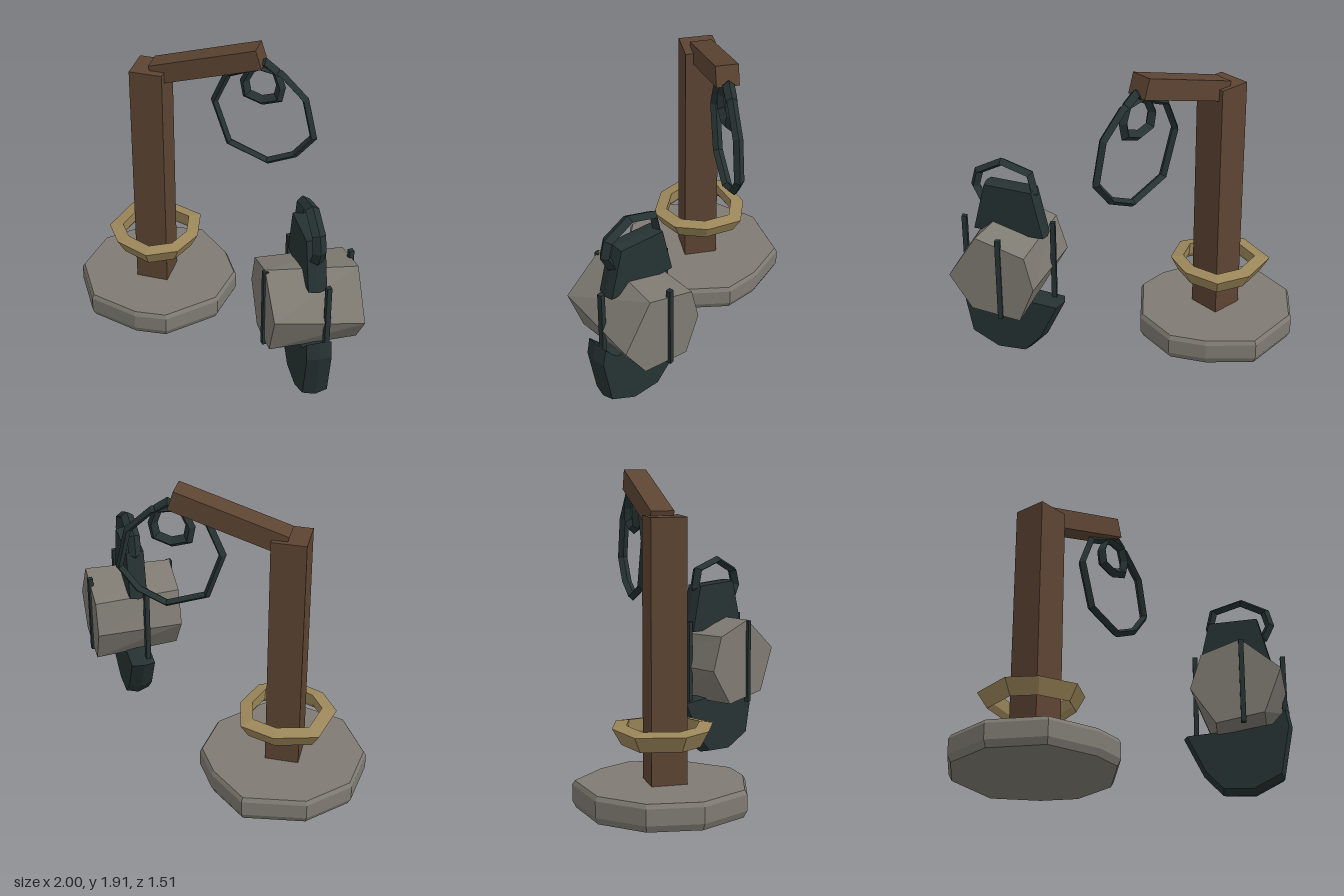
import * as THREE from 'three';

const mat = (name, color) => Object.assign(new THREE.MeshStandardMaterial({ color, flatShading: true }), { name });

// Skin a list of equal-length cross-sections; closed joins last to first, otherwise ends are capped.
function loft(sections, closed) {
  const pos = [], n = sections.length, m = sections[0].length;
  const tri = (...pts) => pts.forEach(p => pos.push(...p));
  for (let i = 0; i < (closed ? n : n - 1); i++) {
    const a = sections[i], b = sections[(i + 1) % n];
    for (let k = 0; k < m; k++) {
      const l = (k + 1) % m;
      tri(a[k], b[k], b[l]);
      tri(a[k], b[l], a[l]);
    }
  }
  if (!closed) {
    const centre = s => [0, 1, 2].map(c => s.reduce((t, p) => t + p[c], 0) / m);
    const a = sections[0], b = sections[n - 1], ca = centre(a), cb = centre(b);
    for (let k = 0; k < m; k++) {
      const l = (k + 1) % m;
      tri(ca, a[k], a[l]);
      tri(cb, b[l], b[k]);
    }
  }
  const g = new THREE.BufferGeometry();
  g.setAttribute('position', new THREE.Float32BufferAttribute(pos, 3));
  g.computeVertexNormals();
  return g;
}

// Faceted ring in the xy plane: outline points, swept by a [scale, z] cross-section.
const ring = (outline, section) =>
  loft(outline.map(([x, y]) => section.map(([s, z]) => [x * s, y * s, z])), true);

// Slab from a clockwise xy profile, slightly narrower on both faces.
function slab(profile, half, shrink) {
  const cx = profile.reduce((t, p) => t + p[0], 0) / profile.length;
  const cy = profile.reduce((t, p) => t + p[1], 0) / profile.length;
  return loft([[-half, shrink], [0, 1], [half, shrink]].map(([z, s]) =>
    profile.map(([x, y]) => [cx + (x - cx) * s, cy + (y - cy) * s, z])), false);
}

export function createModel() {
  const model = new THREE.Group();
  const stone = mat('stone grey', 0x7f7b73);
  const wood = mat('brown wood', 0x5c4432);
  const gold = mat('dull gold', 0x9c875a);
  const iron = mat('dark iron', 0x263232);

  const add = (parent, name, geo, material, x = 0, y = 0, z = 0) => {
    const mesh = new THREE.Mesh(geo, material);
    mesh.name = name;
    mesh.position.set(x, y, z);
    parent.add(mesh);
    return mesh;
  };

  // Rough stone foot
  const foot = [[0, -0.35], [-0.04, -0.05], [-0.3, 0.22], [-0.5, 0.24], [-0.82, 0.15],
    [-1, -0.15], [-0.96, -0.47], [-0.73, -0.7], [-0.35, -0.755], [-0.12, -0.55]];
  const level = (y, s) => foot.map(([x, z]) => [-0.5 + (x + 0.5) * s, y, -0.25 + (z + 0.25) * s]);
  add(model, 'base', loft([level(0.01, 0.96), level(0.05, 1), level(0.145, 1), level(0.17, 0.97)], false), stone);

  // Post and sloping arm
  add(model, 'post', new THREE.BoxGeometry(0.205, 1.54, 0.21), wood, -0.51, 0.92, -0.245);
  add(model, 'arm', new THREE.BoxGeometry(0.69, 0.125, 0.135), wood, -0.16, 1.76, -0.255).rotation.z = 0.3;

  // Flared collar around the post
  const collar = ring([[0.27, 0], [0.22, 0.23], [0.01, 0.3], [-0.25, 0.23], [-0.31, -0.05],
    [-0.2, -0.21], [0.02, -0.3], [0.2, -0.2]], [[1, 0.04], [0.72, 0.055], [0.74, -0.02], [0.82, -0.055]]);
  add(model, 'collar', collar.rotateX(-Math.PI / 2), gold, -0.5, 0.45, -0.25);

  // Iron hoop and the small loop that hangs it
  add(model, 'hoop', ring([[0.33, -0.11], [0.27, 0.16], [0.11, 0.32], [-0.04, 0.35], [-0.24, 0.27],
    [-0.33, 0.06], [-0.23, -0.24], [0.03, -0.34], [0.21, -0.26]],
  [[1, 0], [0.92, 0.03], [0.86, 0], [0.92, -0.03]]), iron, 0.19, 1.46, -0.255);
  add(model, 'hangingLoop', ring([[0.14, -0.02], [0.1, 0.1], [0.02, 0.16], [-0.09, 0.09], [-0.14, -0.01],
    [-0.12, -0.12], [0, -0.16], [0.12, -0.12]],
  [[1, 0], [0.8, 0.035], [0.58, 0], [0.8, -0.035]]), iron, 0.18, 1.69, -0.255);

  // Lantern, turned about its upright axis
  const lantern = new THREE.Group();
  lantern.name = 'lantern';
  lantern.position.set(0.635, 0, 0.385);
  lantern.rotation.y = -1.066;
  model.add(lantern);

  // Six-sided drum lying across the lantern
  const drumRight = [[-0.257, 0.635], [-0.205, 0.84], [0.1, 0.925], [0.28, 0.645], [0.14, 0.44], [-0.165, 0.41]];
  const drumLeft = [[-0.27, 0.64], [-0.2, 0.855], [0.04, 0.94], [0.275, 0.735], [0.17, 0.46], [-0.12, 0.41]];
  const at = (pts, z) => pts.map(([x, y]) => [x, y, z]);
  add(lantern, 'drum', loft([at(drumRight, -0.268), at(drumLeft, 0.268)], false), stone);

  // Iron bowl below, cap above, and carrying handle
  add(lantern, 'bowl', slab([[-0.35, 0.42], [0.1, 0.45], [0.22, 0.47], [0.29, 0.56], [0.31, 0.45],
    [0.25, 0.13], [0.07, 0.04], [-0.12, 0.05], [-0.23, 0.17]], 0.075, 0.93), iron);
  add(lantern, 'cap', slab([[-0.25, 0.86], [-0.18, 1.165], [0.13, 1.175], [0.21, 0.86]], 0.055, 0.96), iron);
  add(lantern, 'handle', ring([[0.23, -0.01], [0.2, 0.1], [0.03, 0.19], [-0.17, 0.13], [-0.2, 0],
    [-0.15, -0.12], [0, -0.17], [0.18, -0.11]],
  [[1, 0], [0.87, 0.04], [0.75, 0], [0.87, -0.04]]), iron, 0, 1.145, 0);

  // Four thin upright bars
  for (let i = 0; i < 4; i++) {
    const a = -0.16 + i * Math.PI / 2;
    const bar = add(lantern, 'bar', new THREE.BoxGeometry(0.03, 0.53, 0.03), iron,
      Math.cos(a) * 0.27, 0.67, Math.sin(a) * 0.27);
    bar.rotation.y = -a;
  }
  return model;
}
